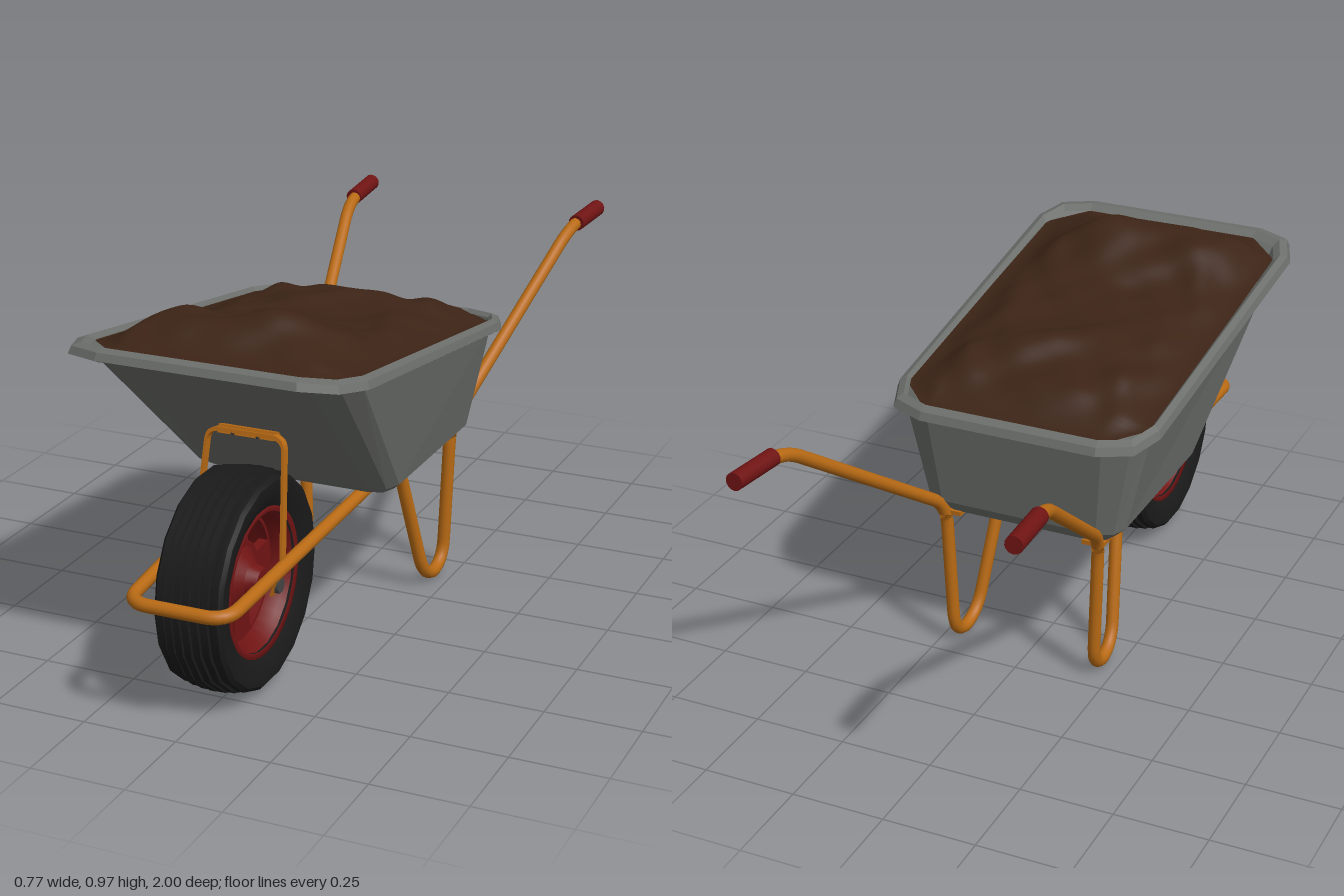
import * as THREE from 'three';
import { toCreasedNormals } from 'three/addons/utils/BufferGeometryUtils.js';

const mat = (color, extra = {}) => new THREE.MeshStandardMaterial({ color, ...extra });
const V = (x, y, z) => new THREE.Vector3(x, y, z);
const steel = mat(0x6b6e6a, { flatShading: true });
const orange = mat(0xb86a14);
const red = mat(0x701414, { side: THREE.DoubleSide });
const rubber = mat(0x1a1a1a);
const soilMat = mat(0x3c2416);
const dark = mat(0x444444);

function add(parent, name, geometry, material, x = 0, y = 0, z = 0) {
  const m = new THREE.Mesh(geometry, material);
  m.name = name;
  m.position.set(x, y, z);
  parent.add(m);
  return m;
}

// Path of straight runs joined by rounded corners; each point is [x, y, z, bend]
function bentPath(points) {
  const path = new THREE.CurvePath();
  let last = V(...points[0].slice(0, 3));
  for (let i = 1; i < points.length; i++) {
    const p = V(...points[i].slice(0, 3));
    if (i === points.length - 1) { path.add(new THREE.LineCurve3(last, p)); break; }
    const next = V(...points[i + 1].slice(0, 3));
    const r = points[i][3];
    const a = p.clone().add(last.clone().sub(p).setLength(r));
    const b = p.clone().add(next.clone().sub(p).setLength(r));
    path.add(new THREE.LineCurve3(last, a));
    path.add(new THREE.QuadraticBezierCurve3(a, p, b));
    last = b;
  }
  return path;
}

// Height of the sloping tub rim
const rimY = z => 0.773 + 0.147 * z;

// Chamfered rectangle, counterclockwise from above
function tubRing(back, front, wBack, wFront, c, height) {
  const m = c * 0.28;
  const half = [
    [wFront - c, front], [wFront - m, front - m], [wFront, front - c],
    [wBack, back + c], [wBack - m, back + m], [wBack - c, back],
  ];
  const all = [...half, ...half.slice().reverse().map(([x, z]) => [-x, z])];
  return all.map(([x, z]) => V(x, height(z), z));
}

function loft(rings) {
  const out = [];
  const tri = (...ps) => ps.forEach(p => out.push(p.x, p.y, p.z));
  const n = rings[0].length;
  const centre = r => r.reduce((s, p) => s.add(p), V(0, 0, 0)).divideScalar(n);
  const bottom = centre(rings[0]), top = centre(rings.at(-1));
  for (let i = 0; i < n; i++) {
    const j = (i + 1) % n;
    for (let k = 0; k < rings.length - 1; k++) {
      const a = rings[k], b = rings[k + 1];
      tri(a[i], a[j], b[j]);
      tri(a[i], b[j], b[i]);
    }
    tri(bottom, rings[0][j], rings[0][i]);
    tri(top, rings.at(-1)[i], rings.at(-1)[j]);
  }
  const g = new THREE.BufferGeometry();
  g.setAttribute('position', new THREE.Float32BufferAttribute(out, 3));
  g.computeVertexNormals();
  return g;
}

// Heaped soil: a grid moved into lumps that flatten towards the rim
function soilGeometry() {
  const g = new THREE.PlaneGeometry(2, 2, 48, 72);
  g.rotateX(-Math.PI / 2);
  const bump = (x, z, cx, cz, sx, sz, h) =>
    h * Math.exp(-(((x - cx) / sx) ** 2) - ((z - cz) / sz) ** 2);
  const p = g.attributes.position;
  for (let i = 0; i < p.count; i++) {
    const z = 0.275 + p.getZ(i) * 0.535;
    const end = Math.min(0.81 - z, z + 0.26);
    const w = Math.min(0.345, 0.25 + end);
    const x = p.getX(i) * w;
    const e = Math.min(1, Math.min(w - Math.abs(x), end) / 0.14);
    const edge = e * e * (3 - 2 * e);
    const h = 0.04
      + bump(x, z, 0.08, 0.56, 0.13, 0.14, 0.07)
      + bump(x, z, -0.16, 0.62, 0.12, 0.13, 0.045)
      + bump(x, z, 0.05, 0.02, 0.2, 0.14, 0.03)
      + bump(x, z, -0.05, 0.38, 0.1, 0.06, -0.02)
      + 0.006 * Math.sin(17 * x + 9 * z + 2 * Math.sin(11 * z))
      + 0.005 * Math.sin(23 * z - 13 * x + 2 * Math.sin(15 * x))
      + 0.003 * Math.sin(41 * x + 1) * Math.sin(37 * z);
    p.setXYZ(i, x, rimY(z) - 0.004 + edge * h, z);
  }
  g.computeVertexNormals();
  return g;
}

// Profile spun round the wheel axle (x axis)
function spin(profile, segments) {
  const g = new THREE.LatheGeometry(profile.map(([r, h]) => new THREE.Vector2(r, h)), segments);
  return g.rotateZ(-Math.PI / 2);
}
const across = (r, length, sides) =>
  new THREE.CylinderGeometry(r, r, length, sides).rotateZ(Math.PI / 2);

function createWheel() {
  const wheel = new THREE.Group();
  wheel.name = 'wheel';
  wheel.position.set(0, 0.288, 0.66);
  // Tyre with ribs round the tread
  const tread = [];
  for (let i = -3; i <= 3; i++) {
    const r = 0.283 - 0.0012 * i * i, x = i * 0.024;
    tread.push([r, x - 0.009], [r, x + 0.009]);
    if (i < 3) tread.push([r - 0.007, x + 0.011], [r - 0.007, x + 0.013]);
  }
  const tyre = spin([[0.18, -0.065], [0.2, -0.075], [0.235, -0.09], [0.262, -0.09], ...tread,
    [0.262, 0.09], [0.235, 0.09], [0.2, 0.075], [0.18, 0.065]], 18);
  add(wheel, 'tyre', toCreasedNormals(tyre, 0.5), rubber);
  add(wheel, 'wheelRim', spin([[0.178, -0.072], [0.192, -0.076], [0.192, -0.066], [0.17, -0.05],
    [0.162, 0], [0.17, 0.05], [0.192, 0.066], [0.192, 0.076], [0.178, 0.072]], 36), red);
  // Pressed disc with four windows
  const disc = new THREE.Shape().absarc(0, 0, 0.168, 0, Math.PI * 2);
  for (let i = 0; i < 4; i++) {
    const a = Math.PI / 4 + i * Math.PI / 2;
    const hole = new THREE.Path();
    hole.absarc(0, 0, 0.155, a - 0.5, a + 0.5, false);
    hole.absarc(0, 0, 0.095, a + 0.36, a - 0.36, true);
    hole.closePath();
    disc.holes.push(hole);
  }
  const plate = new THREE.ExtrudeGeometry(disc, { depth: 0.024, bevelEnabled: false, curveSegments: 24 });
  add(wheel, 'wheelDisc', plate.translate(0, 0, -0.012).rotateY(Math.PI / 2), red);
  add(wheel, 'hub', toCreasedNormals(spin([[0, -0.07], [0.035, -0.07], [0.045, -0.04], [0.08, -0.012],
    [0.08, 0.012], [0.045, 0.04], [0.035, 0.07], [0, 0.07]], 24), 0.5), red);
  add(wheel, 'axle', across(0.012, 0.21, 12), dark);
  return wheel;
}

export function createModel() {
  const model = new THREE.Group();
  model.name = 'wheelbarrow';

  // Tub: outer wall, rolled rim, inner wall
  const rim = d => z => rimY(z) + d;
  add(model, 'tub', loft([
    tubRing(-0.2, 0.3, 0.245, 0.245, 0.05, () => 0.412),
    tubRing(-0.225, 0.36, 0.28, 0.28, 0.06, () => 0.447),
    tubRing(-0.258, 0.815, 0.348, 0.355, 0.1, rim(-0.005)),
    tubRing(-0.28, 0.85, 0.363, 0.376, 0.12, rim(-0.012)),
    tubRing(-0.285, 0.855, 0.366, 0.38, 0.125, rim(-0.024)),
    tubRing(-0.295, 0.866, 0.372, 0.387, 0.125, rim(-0.02)),
    tubRing(-0.286, 0.858, 0.366, 0.38, 0.122, rim(0)),
    tubRing(-0.265, 0.83, 0.35, 0.362, 0.108, rim(0.008)),
    tubRing(-0.252, 0.808, 0.341, 0.348, 0.1, rim(-0.003)),
    tubRing(-0.215, 0.34, 0.27, 0.27, 0.06, () => 0.455),
    tubRing(-0.195, 0.295, 0.24, 0.24, 0.05, () => 0.422),
  ]), steel);
  add(model, 'soil', soilGeometry(), soilMat);
  model.add(createWheel());

  // Frame: one bent tube from handle to leg to front bar and back again
  const side = [
    [0.355, 0.846, -0.985], [0.343, 0.838, -0.8, 0.07], [0.222, 0.435, -0.215, 0.05],
    [0.218, 0.38, -0.203, 0.02], [0.205, 0.018, -0.197, 0.075], [0.203, 0.018, -0.07, 0.075],
    [0.167, 0.405, 0.045, 0.085], [0.132, 0.335, 0.982, 0.06],
  ];
  const path = bentPath([...side, ...side.slice().reverse().map(([x, ...r]) => [-x, ...r])]);
  add(model, 'frame', new THREE.TubeGeometry(path, 420, 0.0172, 12), orange);

  // Strap hoop over the wheel, bolted to the front of the tub
  const strap = new THREE.Shape();
  strap.moveTo(-0.123, 0);
  strap.lineTo(-0.108, 0.27);
  strap.quadraticCurveTo(-0.106, 0.308, -0.07, 0.308);
  strap.lineTo(0.07, 0.308);
  strap.quadraticCurveTo(0.106, 0.308, 0.108, 0.27);
  strap.lineTo(0.123, 0);
  strap.lineTo(0.116, 0);
  strap.lineTo(0.101, 0.27);
  strap.quadraticCurveTo(0.099, 0.296, 0.07, 0.298);
  strap.lineTo(-0.07, 0.298);
  strap.quadraticCurveTo(-0.099, 0.296, -0.101, 0.27);
  strap.lineTo(-0.116, 0);
  const hoop = new THREE.ExtrudeGeometry(strap, { depth: 0.024, bevelEnabled: false });
  add(model, 'wheelHoop', hoop.translate(0, 0, -0.012), orange, 0, 0.35, 0.65).rotation.x = -0.18;
  add(model, 'hoopTab', new THREE.BoxGeometry(0.15, 0.022, 0.04), orange, 0, 0.644, 0.582).rotation.x = -0.3;

  for (const s of [-1, 1]) {
    // Handle grips
    const grip = add(model, s > 0 ? 'leftGrip' : 'rightGrip',
      new THREE.CylinderGeometry(0.023, 0.023, 0.158, 14), red, s * 0.353, 0.844, -0.92);
    grip.quaternion.setFromUnitVectors(V(0, 1, 0), V(s * 0.012, 0.008, -0.185).normalize());
    // Axle bracket, nut and tub mounts
    add(model, 'axleBracket', new THREE.BoxGeometry(0.007, 0.1, 0.04), orange, s * 0.115, 0.312, 0.66).rotation.z = -s * 0.3;
    add(model, 'axleNut', across(0.02, 0.016, 6), dark, s * 0.112, 0.288, 0.66);
    add(model, 'rearMount', new THREE.BoxGeometry(0.06, 0.012, 0.06), orange, s * 0.205, 0.408, -0.18);
    add(model, 'frontMount', new THREE.BoxGeometry(0.05, 0.012, 0.05), orange, s * 0.165, 0.41, 0.1);
    add(model, 'hoopBolt', new THREE.SphereGeometry(0.007, 8, 6), dark, s * 0.034, 0.645, 0.602);
  }
  return model;
}
